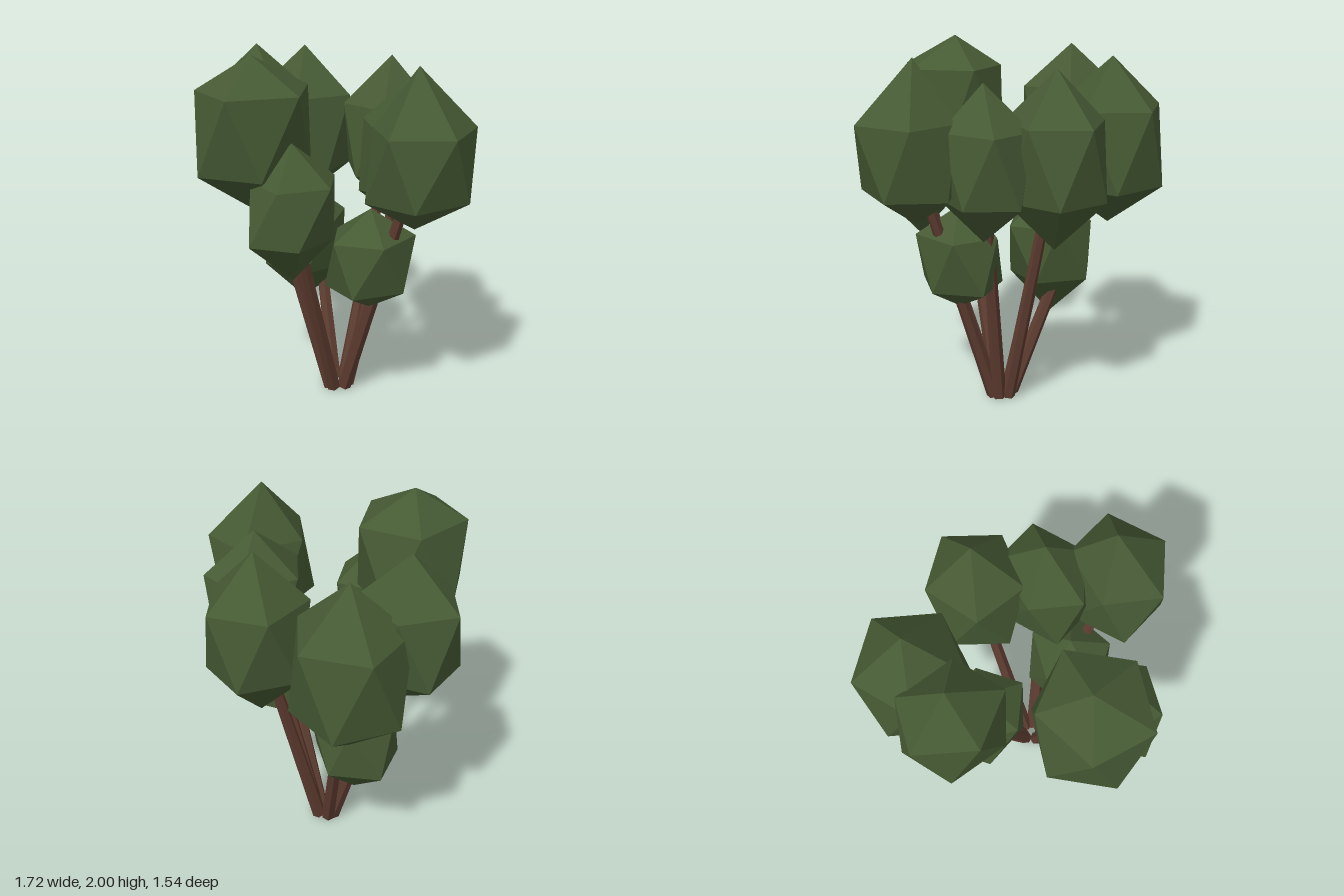
import * as THREE from 'three';

const leafGreen = new THREE.MeshStandardMaterial({ color: 0x465a34, flatShading: true });
leafGreen.name = 'leafGreen';
const barkBrown = new THREE.MeshStandardMaterial({ color: 0x5f3d31, flatShading: true });
barkBrown.name = 'barkBrown';

function ringPoint(x, y, z, rx, rz, degrees) {
  const a = THREE.MathUtils.degToRad(degrees);
  return [x + rx * Math.cos(a), y, z + rz * Math.sin(a)];
}

// Twenty-sided clump at x, z: heights of foot, lower ring, upper ring and tip, ring radii,
// turn of the upper ring; skewX and skewZ slide the rings apart, tipX moves tip and foot
function makeClump(name, x, z, heights, rx, rz, turn, { skewX = 0, skewZ = 0, tipX = 0 } = {}) {
  const [footY, lowY, highY, tipY] = heights;
  const tip = [x + tipX, tipY, z];
  const foot = [x + tipX, footY, z];
  const upper = (a) => ringPoint(x + skewX, highY, z + skewZ, rx, rz, a);
  const lower = (a) => ringPoint(x - skewX, lowY, z - skewZ, rx, rz, a);
  const corners = [];
  for (let k = 0; k < 5; k++) {
    const a = turn + 72 * k;
    const u0 = upper(a);
    const u1 = upper(a + 72);
    const l0 = lower(a + 36);
    const l1 = lower(a + 108);
    corners.push(tip, u1, u0, u0, u1, l0, l1, l0, u1, foot, l0, l1);
  }
  const geo = new THREE.BufferGeometry();
  geo.setAttribute('position', new THREE.Float32BufferAttribute(corners.flat(), 3));
  geo.computeVertexNormals();
  const mesh = new THREE.Mesh(geo, leafGreen);
  mesh.name = name + 'Clump';
  return mesh;
}

// Six-sided tapered stem from a small ring at the ground to the middle of a clump
function makeStem(name, x, y, z) {
  const to = new THREE.Vector3(x, y, z);
  const from = new THREE.Vector3(x, 0, z + 0.08).setLength(0.057);
  from.y = 0.013;
  from.z -= 0.08;
  const axis = to.clone().sub(from);
  const mesh = new THREE.Mesh(new THREE.CylinderGeometry(0.026, 0.041, axis.length(), 6), barkBrown);
  mesh.name = name + 'Stem';
  mesh.position.copy(from).add(to).multiplyScalar(0.5);
  mesh.quaternion.setFromUnitVectors(new THREE.Vector3(0, 1, 0), axis.normalize());
  return mesh;
}

export function createModel() {
  const shrub = new THREE.Group();
  shrub.name = 'shrub';

  // A clump together with the stem that carries it
  const addBranch = (name, x, z, heights, ...rest) => {
    shrub.add(makeClump(name, x, z, heights, ...rest));
    shrub.add(makeStem(name, x, (heights[0] + heights[3]) / 2, z));
  };
  addBranch('front', 0, 0.46, [1.2, 1.42, 1.83, 2], 0.285, 0.31, -86, { skewX: 0.02, tipX: -0.01 });
  addBranch('frontLeft', 0.255, 0.405, [0.88, 1.11, 1.4, 1.6], 0.21, 0.235, -16, { skewZ: -0.022 });
  addBranch('frontRight', -0.55, 0.08, [1.16, 1.36, 1.73, 1.96], 0.285, 0.25, 14);
  addBranch('backRight', -0.575, -0.27, [1, 1.22, 1.65, 1.92], 0.295, 0.295, 46);
  addBranch('back', -0.06, -0.5, [0.98, 1.25, 1.64, 1.905], 0.26, 0.275, 48);
  addBranch('backLeft', 0.265, -0.34, [1.03, 1.25, 1.61, 1.84], 0.23, 0.28, 5);
  addBranch('left', 0.585, -0.15, [1.12, 1.29, 1.65, 1.96], 0.255, 0.29, 5, { skewX: 0.015, tipX: -0.035 });

  // Low clumps gathered round the stems
  shrub.add(makeClump('lowRight', -0.32, -0.08, [0.45, 0.69, 1, 1.19], 0.25, 0.23, 0, { skewX: 0.02 }));
  shrub.add(makeClump('lowLeft', 0.27, -0.09, [0.6, 0.73, 1.02, 1.17], 0.22, 0.25, 20, { skewX: 0.01 }));
  return shrub;
}
